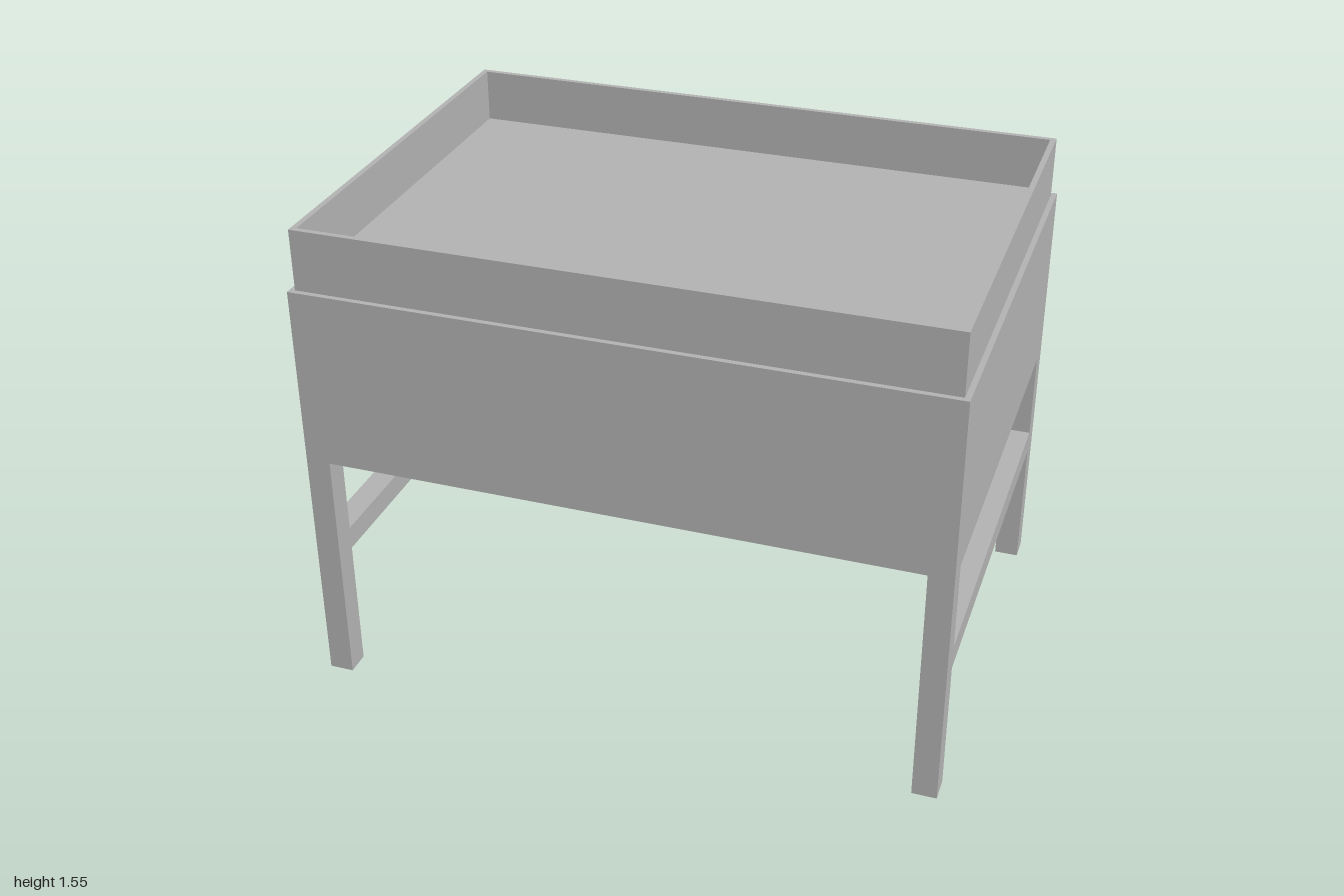
import * as THREE from 'three';

const W = 2, D = 1.41;            // overall footprint
const LEG = 0.077;                // leg and rail thickness
const BODY_Y = 0.788, BODY_TOP = 1.357, RIM_TOP = 1.55, FLOOR_Y = 1.38;

export function createModel() {
  const model = new THREE.Group();
  const grey = new THREE.MeshStandardMaterial({ color: 0xb2b2b2 });
  grey.name = 'matte grey';

  const add = (name, geometry, x, y, z) => {
    const mesh = new THREE.Mesh(geometry, grey);
    mesh.name = name;
    mesh.position.set(x, y, z);
    model.add(mesh);
  };
  // box placed by its bottom height
  const box = (name, w, h, d, x, y, z) =>
    add(name, new THREE.BoxGeometry(w, h, d), x, y + h / 2, z);
  const rectangle = (Type, w, d) => new Type([
    new THREE.Vector2(-w / 2, -d / 2), new THREE.Vector2(w / 2, -d / 2),
    new THREE.Vector2(w / 2, d / 2), new THREE.Vector2(-w / 2, d / 2),
  ]);

  // deep cabinet body
  box('body', W, BODY_TOP - BODY_Y, D, 0, BODY_Y, 0);

  // thin raised rim around the tray
  const rimW = 1.966, rimD = 1.376, wall = 0.0175;
  const outline = rectangle(THREE.Shape, rimW, rimD);
  outline.holes.push(rectangle(THREE.Path, rimW - 2 * wall, rimD - 2 * wall));
  const rim = new THREE.ExtrudeGeometry(outline, { depth: RIM_TOP - BODY_TOP, bevelEnabled: false });
  rim.rotateX(-Math.PI / 2);
  add('trayRim', rim, 0, BODY_TOP, 0);

  // tray floor inside the rim
  box('trayFloor', rimW - 2 * wall, FLOOR_Y - BODY_TOP, rimD - 2 * wall, 0, BODY_TOP, 0);

  // legs at the corners, with a rail joining each side pair
  for (const [side, sx] of [['left', 1], ['right', -1]]) {
    const x = sx * (W - LEG) / 2;
    for (const [end, sz] of [['Front', 1], ['Back', -1]])
      box(`${side}${end}Leg`, LEG, BODY_Y, LEG, x, 0, sz * (D - LEG) / 2);
    box(`${side}Rail`, LEG, 0.075, D - 2 * LEG, x, 0.43, 0);
  }
  return model;
}
